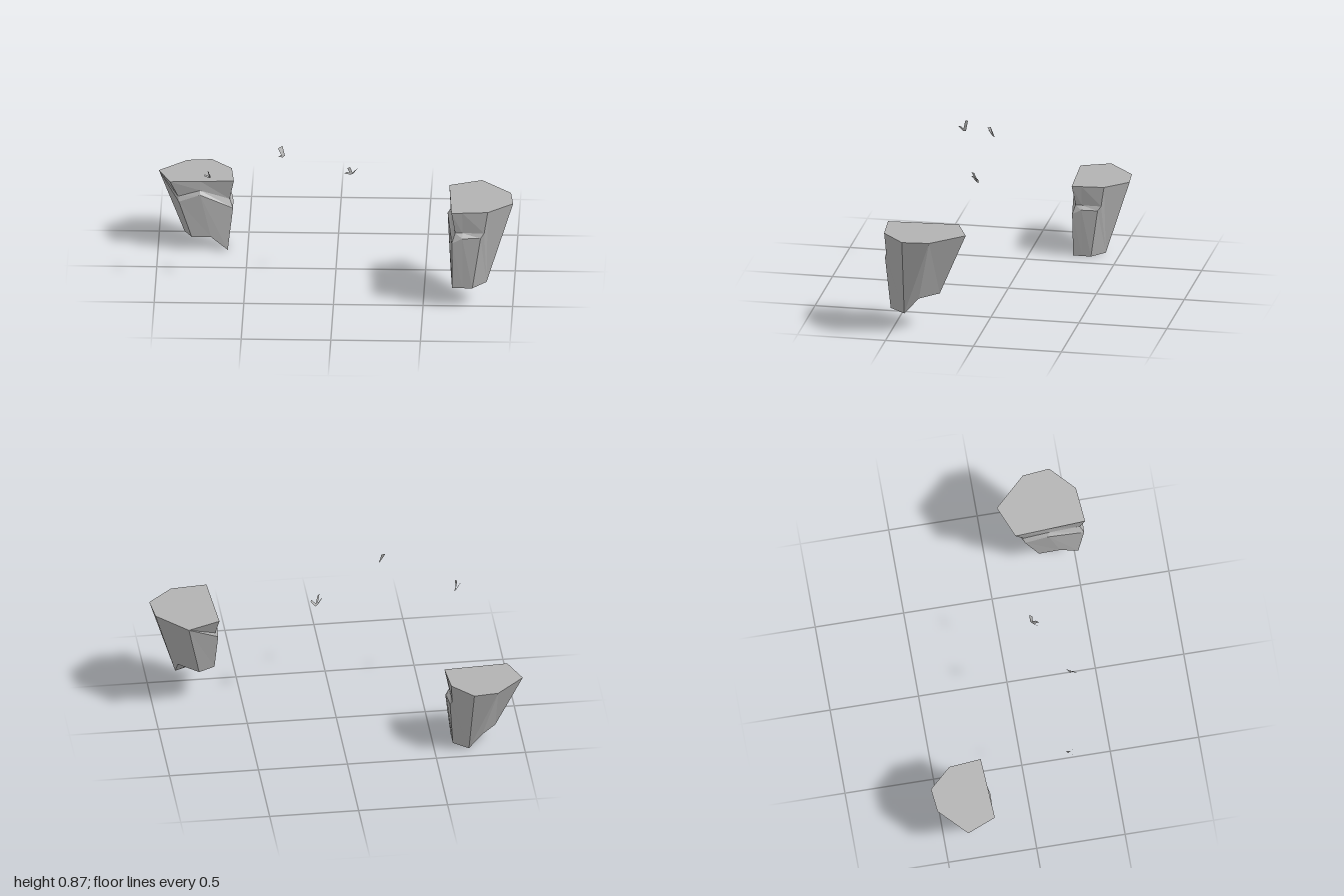
import * as THREE from 'three';

const stone = new THREE.MeshStandardMaterial({ color: 0xb2b2b2, flatShading: true, side: THREE.DoubleSide });
stone.name = 'stone grey';

// Flat-shaded geometry from triangles of [x, y, z] points, dropping empty ones
function facets(triangles) {
  const points = [];
  for (const tri of triangles) {
    const [a, b, c] = tri.map((p) => new THREE.Vector3(...p));
    if (new THREE.Triangle(a, b, c).getArea() > 1e-8) points.push(a, b, c);
  }
  const geometry = new THREE.BufferGeometry().setFromPoints(points);
  geometry.computeVertexNormals();
  return geometry;
}

// Tapering rock: each column runs rim, ledge top, ledge lip, foot
function rockGeometry() {
  const rim = 0.585;
  // Columns without a ledge repeat their rim or foot
  const plain = (top, foot, rims) => [0, 1, 2, 3].map((r) => (r < rims ? top : foot));
  const columns = [
    [[0.637, rim, 0.155], [0.654, 0.48, 0.205], [0.637, 0.45, 0.21], [0.648, 0.207, 0.29]],
    plain([0.818, rim, 0.08], [0.74, 0.207, 0.243], 3),
    plain([0.984, rim, 0.255], [0.848, 0.207, 0.34], 3),
    plain([1.0, rim, 0.407], [0.852, 0.115, 0.423], 1),
    [[0.862, rim, 0.535], [0.842, 0.455, 0.527], [0.822, 0.428, 0.538], [0.775, 0.115, 0.515]],
    [[0.72, rim, 0.548], [0.72, 0.455, 0.527], [0.72, 0.43, 0.549], [0.72, 0.115, 0.515]],
    [[0.66, rim, 0.553], [0.68, 0.455, 0.527], [0.662, 0.4, 0.548], [0.662, 0.115, 0.515]],
    [[0.648, rim, 0.343], [0.65, 0.522, 0.343], [0.633, 0.498, 0.343], [0.65, 0.207, 0.41]],
  ];
  const n = columns.length;
  const tris = [];
  // Sides
  for (let i = 0; i < n; i++) {
    const a = columns[i], b = columns[(i + 1) % n];
    for (let r = 0; r < 3; r++) {
      tris.push([a[r], b[r], a[r + 1]], [b[r], b[r + 1], a[r + 1]]);
    }
  }
  // Flat top
  for (let i = 1; i < n - 1; i++) tris.push([columns[0][0], columns[i + 1][0], columns[i][0]]);
  // Stepped underside
  const foot = columns.map((c) => c[3]);
  for (const t of [[7, 0, 1], [7, 1, 2], [7, 2, 3], [7, 3, 6], [3, 4, 5], [3, 5, 6]]) {
    tris.push(t.map((i) => foot[i]));
  }
  return facets(tris);
}

// Shard of folded flaps: every flap joins the hinge pair to a tip pair
function shardGeometry(hinge, tips) {
  const tris = [];
  for (const [p, q] of tips) tris.push([hinge[0], hinge[1], q], [hinge[0], q, p]);
  return facets(tris);
}

export function createModel() {
  const group = new THREE.Group();
  const add = (name, geometry) => {
    const mesh = new THREE.Mesh(geometry, stone);
    mesh.name = name;
    group.add(mesh);
    return mesh;
  };

  // The two rocks share a shape; the second is smaller and turned a quarter
  const rock = rockGeometry();
  add('largeRock', rock);
  const small = add('smallRock', rock);
  small.scale.setScalar(0.893);
  small.rotation.y = Math.PI / 2;
  small.position.set(-1.071, -0.102, 0.344);

  // Small floating shards
  add('rightShard', shardGeometry(
    [[-0.70, 0.642, 0.228], [-0.69, 0.642, 0.215]],
    [[[-0.70, 0.69, 0.257], [-0.71, 0.693, 0.242]],
      [[-0.73, 0.667, 0.258], [-0.725, 0.672, 0.246]]]));
  add('middleShard', shardGeometry(
    [[-0.288, 0.81, 0.315], [-0.277, 0.813, 0.296]],
    [[[-0.31, 0.828, 0.346], [-0.297, 0.832, 0.328]],
      [[-0.315, 0.861, 0.307], [-0.29, 0.87, 0.287]]]));
  add('leftShard', shardGeometry(
    [[0.085, 0.645, 0.163], [0.10, 0.645, 0.149]],
    [[[0.07, 0.697, 0.195], [0.083, 0.697, 0.178]],
      [[0.052, 0.667, 0.2], [0.063, 0.67, 0.183]],
      [[0.12, 0.68, 0.163], [0.126, 0.678, 0.147]]]));
  return group;
}
